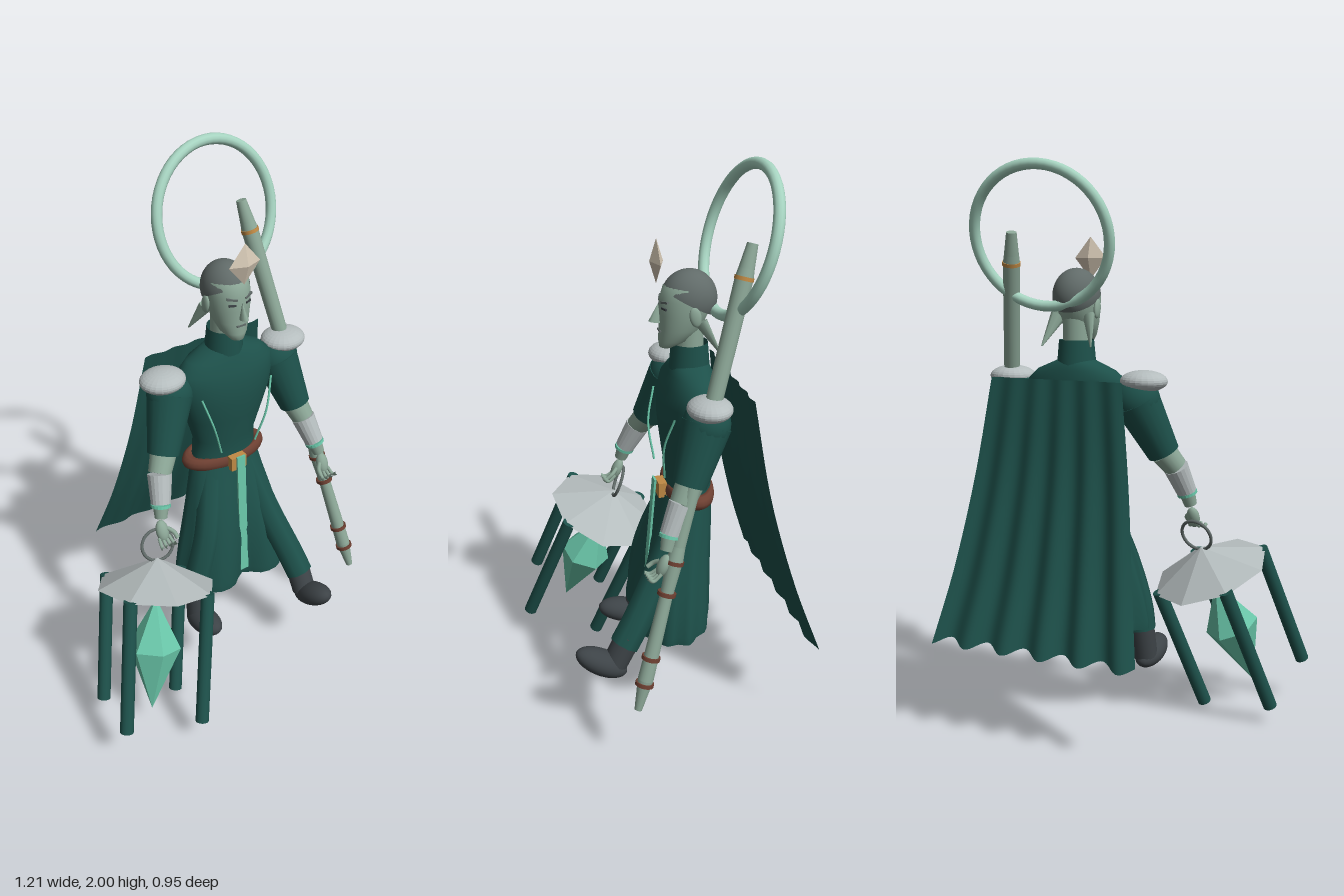
import * as THREE from 'three';

const mat = (name, color, o = {}) => {
  const m = new THREE.MeshStandardMaterial({ color, ...o });
  m.name = name;
  return m;
};
const V = (p) => new THREE.Vector3(...p);
const CX = 0.14; // body centre line

export function createModel() {
  const cloth = mat('dark green cloth', 0x1d504a, { side: THREE.DoubleSide });
  const skin = mat('grey green skin', 0x8ca797);
  const metal = mat('pale metal', 0xb5bdbe, { flatShading: true });
  const hair = mat('grey hair', 0x616b69);
  const boot = mat('charcoal boot', 0x3d4347);
  const jade = mat('jade crystal', 0x69c5a8, { flatShading: true });
  const leather = mat('brown leather', 0x6e4032);
  const gold = mat('gold', 0xc08a45);
  const ivory = mat('ivory crest', 0xd3c6b3, { flatShading: true });
  const mint = mat('mint halo', 0xa6d3c0);

  const model = new THREE.Group();
  const add = (name, geo, m, pos = [0, 0, 0], parent = model) => {
    const mesh = new THREE.Mesh(geo, m);
    mesh.name = name;
    mesh.position.set(...pos);
    parent.add(mesh);
    return mesh;
  };
  const ball = (name, m, pos, [x, y, z], pitch = 0) => {
    const mesh = add(name, new THREE.SphereGeometry(1, 24, 16).scale(x, y, z), m, pos);
    mesh.rotation.x = pitch;
    return mesh;
  };
  // tapered cylinder from a to b
  const limb = (name, m, a, b, ra, rb, sides = 18) => {
    const d = V(b).sub(V(a));
    const mesh = add(name, new THREE.CylinderGeometry(rb, ra, d.length(), sides), m);
    mesh.position.copy(V(a)).addScaledVector(d, 0.5);
    mesh.quaternion.setFromUnitVectors(new THREE.Vector3(0, 1, 0), d.normalize());
    return mesh;
  };
  const tube = (name, m, pts, r) =>
    add(name, new THREE.TubeGeometry(new THREE.CatmullRomCurve3(pts.map(V)), 16, r, 8), m);
  // grid surface, optionally wrapped around u
  const surface = (nu, nv, f, wrap) => {
    const pos = [], idx = [], w = wrap ? nu : nu + 1;
    for (let j = 0; j <= nv; j++) for (let i = 0; i < w; i++) pos.push(...f(i / nu, j / nv));
    for (let j = 0; j < nv; j++) for (let i = 0; i < nu; i++) {
      const a = j * w + i, b = j * w + (i + 1) % w;
      idx.push(a, b, b + w, a, b + w, a + w);
    }
    const g = new THREE.BufferGeometry();
    g.setAttribute('position', new THREE.Float32BufferAttribute(pos, 3));
    g.setIndex(idx);
    g.computeVertexNormals();
    return g;
  };
  // body loft: rows of [y, half width, front z, back z], rising
  const loft = (rows, shape = (p) => p) => surface(48, rows.length - 1, (u, v) => {
    const [y, hx, zf, zb] = rows[Math.round(v * (rows.length - 1))];
    const a = u * Math.PI * 2;
    return shape([CX + hx * Math.sin(a), y, (zf + zb) / 2 + (zf - zb) / 2 * Math.cos(a)], a, y);
  }, true);

  // jacket, collar, belt
  add('jacket', loft([[0.82, 0.14, 0.0, -0.165], [0.88, 0.13, -0.005, -0.165], [0.95, 0.128, -0.003, -0.163],
    [1.05, 0.16, 0.01, -0.168], [1.13, 0.185, 0.018, -0.17], [1.2, 0.2, 0.015, -0.172], [1.25, 0.195, 0.002, -0.17],
    [1.29, 0.15, -0.015, -0.165], [1.315, 0.09, -0.025, -0.155], [1.33, 0.055, -0.035, -0.145]]), cloth);
  add('collar', new THREE.CylinderGeometry(0.062, 0.07, 0.09, 24, 1, true), cloth, [CX, 1.35, -0.088]);
  add('neck', new THREE.CylinderGeometry(0.05, 0.05, 0.14, 20), skin, [CX, 1.4, -0.085]);
  add('belt', new THREE.TorusGeometry(0.15, 0.026, 10, 40).rotateX(Math.PI / 2).scale(1, 1, 0.5), leather, [CX, 0.855, -0.085]);
  add('buckle', new THREE.BoxGeometry(0.065, 0.055, 0.03), gold, [CX, 0.855, 0.01]);
  const sash = add('sash', new THREE.BoxGeometry(0.036, 0.53, 0.008), jade, [CX, 0.628, 0.055]);
  sash.rotation.x = -0.08;
  for (const s of [-1, 1])
    tube('chestTrim', jade, [[CX + s * 0.15, 1.18, 0.0], [CX + s * 0.115, 1.06, 0.028], [CX + s * 0.075, 0.93, 0.016]], 0.004);

  // long skirt with folds and a parting at the front
  const skirt = loft([[0.33, 0.25, 0.13, -0.155], [0.36, 0.25, 0.13, -0.158], [0.45, 0.235, 0.118, -0.16], [0.55, 0.21, 0.1, -0.162],
    [0.65, 0.185, 0.075, -0.165], [0.75, 0.16, 0.04, -0.168], [0.84, 0.14, 0.005, -0.165]], ([x, y, z], a, h) => {
    const t = (0.84 - h) / 0.5, part = z > 0 ? Math.exp(-(((x - CX) / 0.05) ** 2)) : 0;
    const fold = 1 + 0.035 * t * Math.cos(a * 11);
    return [CX + (x - CX) * fold, y + 0.025 * t * (1 - Math.cos(a)) * 0.5, z * fold - 0.07 * t * part];
  });
  add('skirt', skirt, cloth);

  // legs and boots
  tube('leftLeg', cloth, [[0.21, 0.82, -0.06], [0.26, 0.6, 0.04], [0.31, 0.42, 0.14], [0.327, 0.34, 0.19]], 0.055);
  tube('rightLeg', cloth, [[0.07, 0.82, -0.06], [0.0, 0.58, 0.02], [-0.05, 0.4, 0.035], [-0.06, 0.32, 0.035]], 0.055);
  limb('leftBootShaft', boot, [0.325, 0.375, 0.17], [0.33, 0.27, 0.225], 0.047, 0.046);
  ball('leftBoot', boot, [0.335, 0.282, 0.275], [0.054, 0.046, 0.105], -0.55);
  limb('rightBootShaft', boot, [-0.058, 0.35, 0.035], [-0.066, 0.21, 0.06], 0.047, 0.046);
  ball('rightBoot', boot, [-0.07, 0.215, 0.108], [0.054, 0.046, 0.1], -0.25);

  // arms: shoulder, elbow cuff, bracer start and end, wrist, hand
  const arms = {
    right: [[-0.09, 1.19, -0.085], [-0.165, 1.0, -0.015], [-0.2, 0.945, 0.015], [-0.225, 0.85, 0.06], [-0.235, 0.8, 0.075], [-0.24, 0.75, 0.09]],
    left: [[0.37, 1.19, -0.085], [0.42, 1.0, -0.015], [0.44, 0.945, 0.015], [0.465, 0.85, 0.06], [0.48, 0.8, 0.075], [0.49, 0.75, 0.09]],
  };
  for (const [side, [sh, el, b0, b1, wr, ha]] of Object.entries(arms)) {
    const s = side === 'left' ? 1 : -1;
    ball(side + 'Shoulder', cloth, sh, [0.085, 0.085, 0.08]);
    limb(side + 'Sleeve', cloth, sh, el, 0.084, 0.058);
    limb(side + 'Forearm', skin, el, b0, 0.048, 0.042);
    limb(side + 'Bracer', metal, b0, b1, 0.045, 0.036);
    limb(side + 'BracerTrim', jade, b1, V(b1).lerp(V(wr), 0.2).toArray(), 0.037, 0.037);
    limb(side + 'Wrist', skin, b1, wr, 0.03, 0.023);
    ball(side + 'Palm', skin, ha, [0.024, 0.042, 0.02], -0.4);
    for (let i = 0; i < 4; i++) {
      const x = ha[0] + (i - 1.5) * 0.013;
      tube(side + 'Finger', skin, [[x, ha[1] - 0.02, ha[2] + 0.01], [x + (i - 1.5) * 0.004, ha[1] - 0.04, ha[2] + 0.04],
        [x + (i - 1.5) * 0.006, ha[1] - 0.035 + i * 0.004, ha[2] + 0.058]], 0.0065);
    }
    tube(side + 'Thumb', skin, [[ha[0] - s * 0.018, ha[1] + 0.01, ha[2] + 0.005], [ha[0] - s * 0.035, ha[1] - 0.005, ha[2] + 0.025],
      [ha[0] - s * 0.038, ha[1] - 0.02, ha[2] + 0.045]], 0.008);
    ball(side + 'Pauldron', metal, [s > 0 ? 0.402 : -0.118, 1.258, -0.085], [0.085, 0.038, 0.075]);
  }

  // head
  add('head', loft([[1.383, 0.001, 0.0, -0.002], [1.385, 0.025, 0.016, -0.03], [1.41, 0.047, 0.02, -0.09], [1.45, 0.064, 0.017, -0.125],
    [1.5, 0.074, 0.018, -0.15], [1.55, 0.078, 0.016, -0.165], [1.59, 0.074, 0.004, -0.162], [1.62, 0.055, -0.025, -0.145],
    [1.638, 0.001, -0.085, -0.087]]), skin);
  add('hair', new THREE.SphereGeometry(1, 32, 20, 0, Math.PI * 2, 0, Math.PI * 0.54).rotateX(-0.5).scale(0.083, 0.097, 0.095),
    hair, [CX, 1.548, -0.084]);
  const nose = add('nose', new THREE.ConeGeometry(0.017, 0.065, 8).scale(0.8, 1, 1.3), skin, [CX, 1.505, 0.027]);
  nose.rotation.x = -0.18;
  add('mouth', new THREE.BoxGeometry(0.036, 0.006, 0.008), hair, [CX, 1.443, 0.016]);
  for (const s of [-1, 1]) {
    const brow = add('brow', new THREE.BoxGeometry(0.038, 0.007, 0.009), hair, [CX + s * 0.033, 1.547, 0.007]);
    brow.rotation.set(0, s * 0.35, s * 0.2);
    const eye = add('eye', new THREE.BoxGeometry(0.026, 0.007, 0.008), boot, [CX + s * 0.032, 1.525, 0.008]);
    eye.rotation.y = s * 0.35;
    ball('ear', skin, [CX + s * 0.08, 1.505, -0.085], [0.01, 0.035, 0.02], 0.2);
    // swept fin behind the jaw
    const fin = limb('neckFin', skin, [CX + s * 0.06, 1.48, -0.11], [CX + s * 0.095, 1.375, -0.17], 0.028, 0.003, 8);
    fin.scale.x = 0.6;
  }

  // floating crest and halo
  add('crest', new THREE.OctahedronGeometry(1).scale(0.062, 0.075, 0.023), ivory, [CX, 1.68, 0.028]);
  const halo = add('halo', new THREE.TorusGeometry(0.246, 0.019, 12, 56), mint, [0.2, 1.748, -0.232]);
  halo.quaternion.setFromUnitVectors(new THREE.Vector3(0, 0, 1), V([0.086, 0.289, 0.952]).normalize());

  // cape, widening and sweeping back with rippled hem
  const spine = new THREE.CatmullRomCurve3([[0, 1.265, -0.235], [0, 0.92, -0.288], [0, 0.6, -0.37], [0, 0.35, -0.455]].map(V));
  add('cape', surface(66, 16, (u, v) => {
    const p = spine.getPoint(1 - v), t = 1 - v;
    const ripple = Math.cos((u - 0.065) / 0.19 * Math.PI * 2);
    const x0 = -0.1 - 0.145 * t, x1 = 0.4 + 0.125 * t;
    return [x0 + (x1 - x0) * u, p.y - 0.012 * t * ripple, p.z - (0.004 + 0.015 * t) * ripple];
  }, false), cloth);

  // staff: tapered rod with bands
  const top = V([0.31, 1.765, -0.24]), tip = V([0.586, 0.255, 0.2]);
  const at = (t) => top.clone().lerp(tip, t).toArray();
  const rod = [[0, 0.018], [0.05, 0.026], [0.07, 0.03], [0.45, 0.027], [0.63, 0.024], [0.66, 0.028], [0.74, 0.022], [0.93, 0.027], [1, 0.013]];
  for (let i = 1; i < rod.length; i++)
    limb('staff', skin, at(rod[i - 1][0]), at(rod[i][0]), rod[i - 1][1], rod[i][1]);
  for (const t of [0.07, 0.665, 0.735, 0.88, 0.94])
    limb('staffBand', t < 0.1 ? gold : leather, at(t - 0.004), at(t + 0.004), 0.032, 0.032);

  // tilted lantern: roof, posts, hanging crystal and handle
  const lantern = new THREE.Group();
  lantern.name = 'lantern';
  const up = V([0.252, 0.917, -0.309]).normalize();
  const ez = V([-0.045, 0.1, 0.26]).normalize();
  const ex = up.clone().cross(ez).normalize();
  lantern.quaternion.setFromRotationMatrix(new THREE.Matrix4().makeBasis(ex, up, ex.clone().cross(up)));
  lantern.position.set(-0.419, 0.094, 0.281);
  model.add(lantern);
  add('lanternRoof', new THREE.ConeGeometry(0.222, 0.105, 8), metal, [0, 0.543, 0], lantern);
  for (const x of [-1, 1]) for (const z of [-1, 1])
    add('lanternPost', new THREE.CylinderGeometry(0.025, 0.025, 0.5, 14), cloth, [x * 0.146, 0.245, z * 0.142], lantern);
  add('lanternCrystalTop', new THREE.ConeGeometry(0.1, 0.19, 6, 1, true), jade, [0, 0.345, 0], lantern);
  add('lanternCrystalBase', new THREE.ConeGeometry(0.1, 0.25, 6, 1, true).rotateX(Math.PI), jade, [0, 0.125, 0], lantern);
  add('lanternHandle', new THREE.TorusGeometry(0.06, 0.006, 8, 32), hair, [0, 0.645, 0], lantern);

  return model;
}
